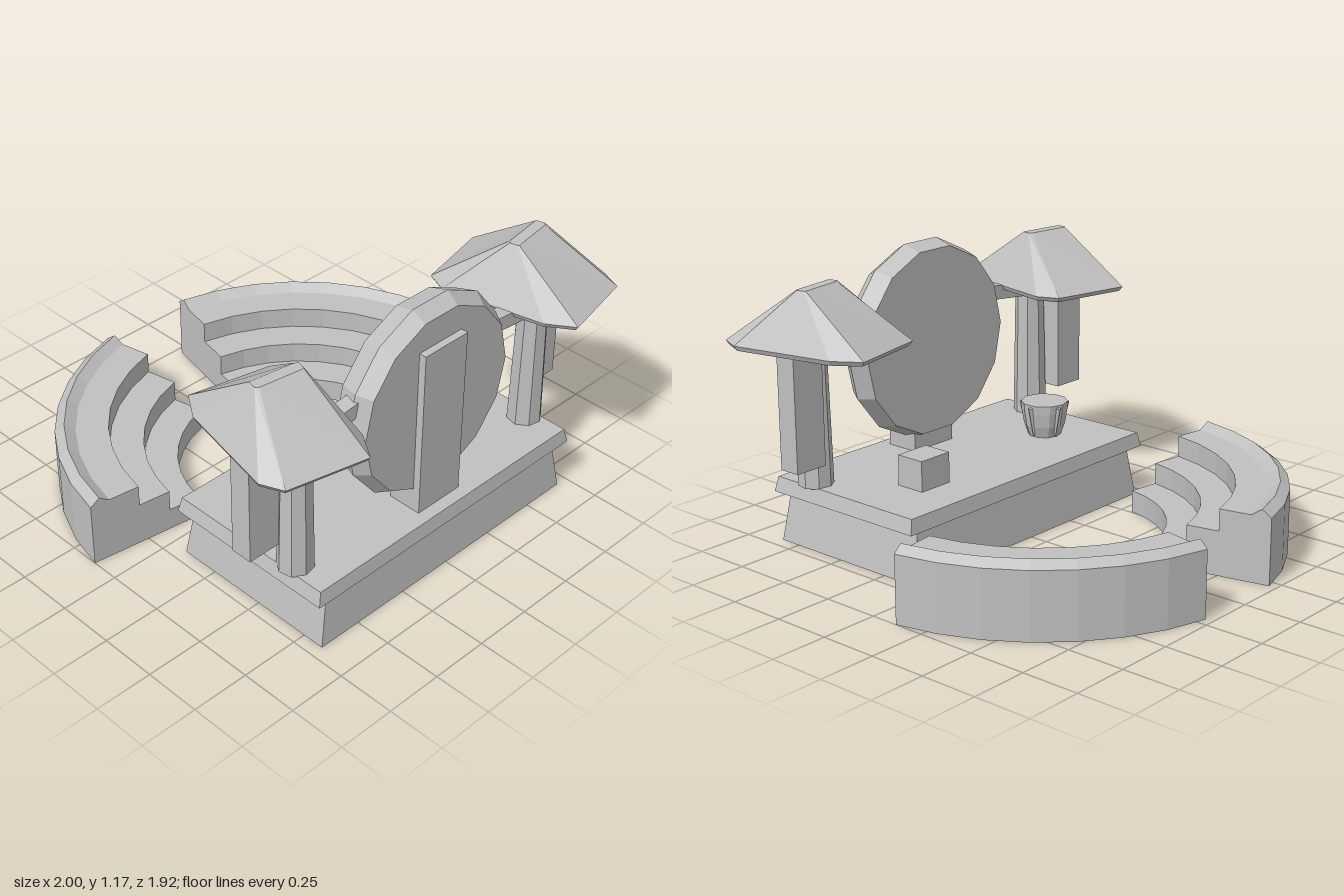
import * as THREE from 'three';

const stone = new THREE.MeshStandardMaterial({ color: 0xc0c0c0, flatShading: true, side: THREE.DoubleSide });
stone.name = 'plain grey';

const rad = THREE.MathUtils.degToRad;

// Adds a faceted mesh to a parent
function add(parent, name, geometry, x = 0, y = 0, z = 0) {
  const flat = geometry.index ? geometry.toNonIndexed() : geometry;
  flat.computeVertexNormals();
  const mesh = new THREE.Mesh(flat, stone);
  mesh.name = name;
  mesh.position.set(x, y, z);
  parent.add(mesh);
  return mesh;
}

// Joins rings of [x, y, z], listed bottom to top and clockwise seen from above
function loft(rings, capBottom = true, capTop = true) {
  const pos = [];
  const n = rings[0].length;
  const tri = (a, b, c) => pos.push(...a, ...b, ...c);
  for (let r = 0; r < rings.length - 1; r++) {
    for (let i = 0; i < n; i++) {
      const j = (i + 1) % n;
      const [a, b, c, d] = [rings[r][i], rings[r][j], rings[r + 1][j], rings[r + 1][i]];
      tri(a, c, b);
      tri(a, d, c);
    }
  }
  const last = rings[rings.length - 1];
  for (let i = 1; i < n - 1; i++) {
    if (capBottom) tri(rings[0][0], rings[0][i], rings[0][i + 1]);
    if (capTop) tri(last[0], last[i + 1], last[i]);
  }
  const g = new THREE.BufferGeometry();
  g.setAttribute('position', new THREE.Float32BufferAttribute(pos, 3));
  return g;
}

const rect = (x, z0, z1, y) => [[-x, y, z0], [x, y, z0], [x, y, z1], [-x, y, z1]];

function lathe(points, segments, start = 0, length = Math.PI * 2) {
  return new THREE.LatheGeometry(points.map(([x, y]) => new THREE.Vector2(x, y)), segments, start, length);
}

// Stage: hollow tapered plinth and overhanging deck
function buildStage(model) {
  const stage = new THREE.Group();
  stage.name = 'stage';
  add(stage, 'plinth', loft([rect(0.695, 0.08, 0.845, 0), rect(0.655, 0.1, 0.825, 0.22)], false, false));
  add(stage, 'deck', loft([rect(0.72, 0.07, 0.855, 0.22), rect(0.705, 0.08, 0.845, 0.283)]));
  model.add(stage);
}

// Curved stepped seating, open underneath
function buildSeating(model) {
  const profile = [[1.01, 0], [1.01, 0.283], [0.97, 0.313], [0.925, 0.283], [0.79, 0.283],
    [0.79, 0.19], [0.65, 0.19], [0.65, 0.097], [0.512, 0.097], [0.512, 0]];
  const endShape = new THREE.Shape(profile.map(([x, y]) => new THREE.Vector2(x, y)));
  for (const [name, from] of [['leftSeating', 8], ['rightSeating', 102]]) {
    const block = new THREE.Group();
    block.name = name;
    block.position.z = 0.02;
    add(block, 'steps', lathe(profile, 7, rad(90 + from), rad(70)));
    for (const angle of [from, from + 70]) {
      add(block, 'endWall', new THREE.ShapeGeometry(endShape)).rotation.y = rad(angle);
    }
    model.add(block);
  }
}

// Large upright disc with its standing slab
function buildDisc(model) {
  const profile = [[0, 0.612], [0.405, 0.612], [0.43, 0.697], [0.392, 0.758], [0, 0.758]];
  const disc = lathe(profile, 14, Math.PI / 2);
  disc.rotateX(Math.PI / 2);
  add(model, 'disc', disc, 0, 0.755, 0);
  add(model, 'discSlab', new THREE.BoxGeometry(0.23, 0.74, 0.15), 0, 0.65, 0.715);
}

// Half of each roof ring; the rest is its point reflection
const eaveHalf = [[0.105, -0.36], [-0.235, -0.285], [-0.275, -0.19], [-0.18, 0.25]];
const ridgeHalf = [[0.095, -0.038], [-0.095, -0.01], [-0.107, 0], [-0.1, 0.032]];

function roofRing(half, side, scale, y) {
  const ring = [...half, ...half.map(([x, z]) => [-x, -z])].map(([x, z]) => [side * x * scale, y, z * scale]);
  return side > 0 ? ring.reverse() : ring;
}

// Post, hanging panel, roof and arm reaching the disc
function buildTower(model, side) {
  const tower = new THREE.Group();
  tower.name = side > 0 ? 'leftTower' : 'rightTower';
  const post = new THREE.CylinderGeometry(0.062, 0.074, 0.62, 8);
  post.rotateY(side * 0.2);
  add(tower, 'post', post, side * 0.66, 0.59, 0.667);
  add(tower, 'hangingPanel', new THREE.BoxGeometry(0.15, 0.5, 0.095), side * 0.79, 0.65, 0.593);
  add(tower, 'roof', loft([
    roofRing(eaveHalf, side, 0.96, 0.882),
    roofRing(eaveHalf, side, 1, 0.902),
    roofRing(ridgeHalf, side, 1, 1.125),
  ]), side * 0.68, 0, 0.595);
  const arm = add(tower, 'arm', new THREE.BoxGeometry(0.27, 0.062, 0.065), side * 0.51, 0.868, 0.68);
  arm.rotation.z = -side * 0.1;
  model.add(tower);
}

// Small drum with bracing pegs
function buildDrum(model) {
  const drum = new THREE.Group();
  drum.name = 'drum';
  drum.position.set(-0.435, 0.283, 0.385);
  add(drum, 'drumBody', lathe([[0, 0], [0.072, 0], [0.09, 0.05], [0.1, 0.11], [0.103, 0.15], [0, 0.15]], 10));
  for (let i = 0; i < 5; i++) {
    const a = (i / 5) * Math.PI * 2 + 0.4;
    const peg = add(drum, 'peg', new THREE.CylinderGeometry(0.012, 0.006, 0.13, 4),
      Math.sin(a) * 0.09, 0.075, Math.cos(a) * 0.09);
    peg.rotation.set(0.2, a, 0, 'YXZ');
  }
  model.add(drum);
}

export function createModel() {
  const model = new THREE.Group();
  model.name = 'openAirStage';
  buildStage(model);
  buildSeating(model);
  buildDisc(model);
  for (const side of [1, -1]) buildTower(model, side);
  buildDrum(model);
  add(model, 'stageBlock', new THREE.BoxGeometry(0.16, 0.13, 0.132), 0.38, 0.348, 0.328);
  return model;
}
